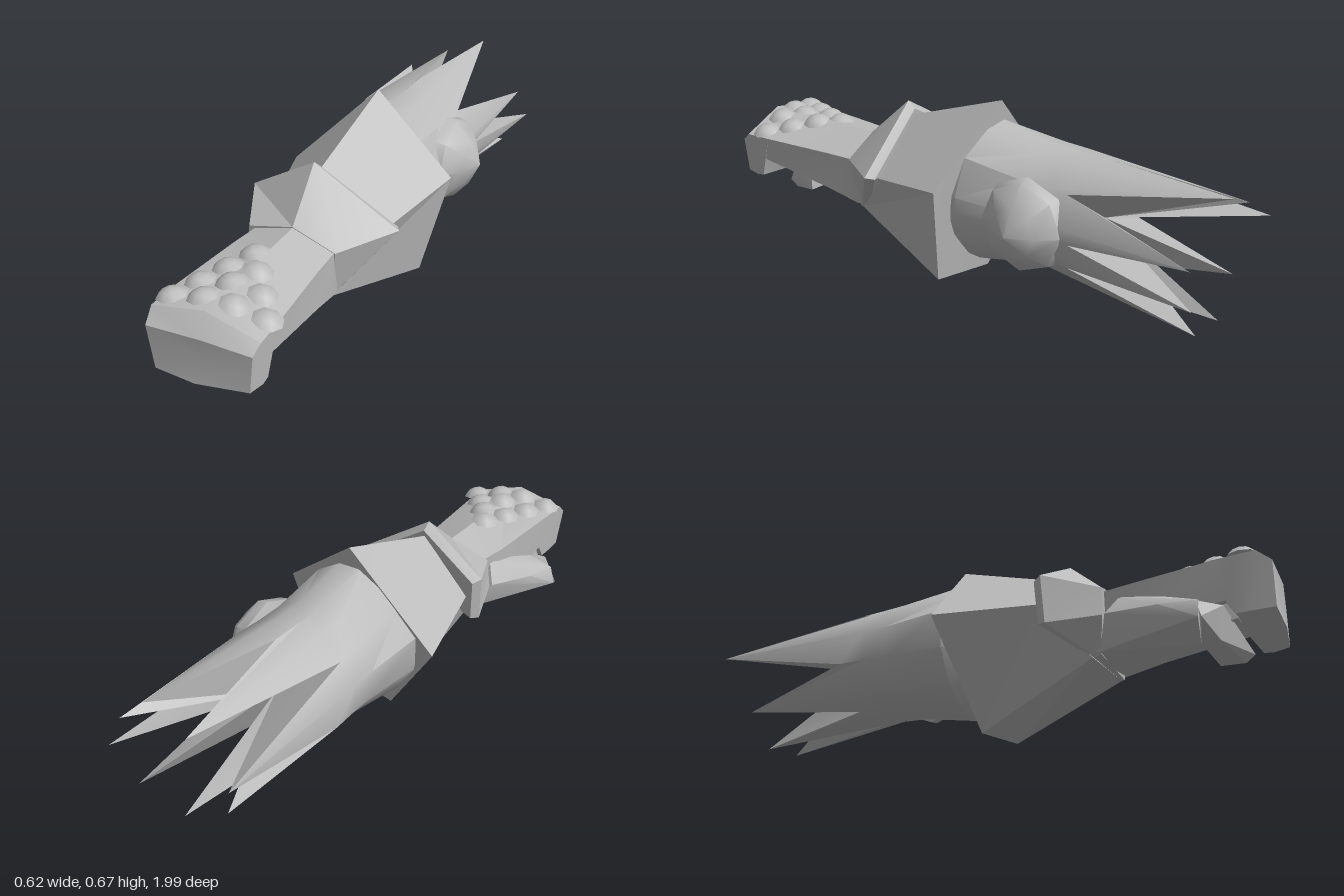
import * as THREE from 'three';
import { toCreasedNormals } from 'three/addons/utils/BufferGeometryUtils.js';
import { ConvexGeometry } from 'three/addons/geometries/ConvexGeometry.js';

// Closed skin through rings of points, each anticlockwise seen from +z, front to back
function loft(rings, backCentre) {
  const n = rings[0].length;
  const points = rings.flat();
  const index = [];
  for (let r = 0; r < rings.length - 1; r++) {
    for (let i = 0; i < n; i++) {
      const j = (i + 1) % n;
      const a = r * n, b = a + n;
      index.push(a + i, b + i, b + j, a + i, b + j, a + j);
    }
  }
  const centreOf = (ring) => [0, 1, 2].map((k) => ring.reduce((s, p) => s + p[k], 0) / n);
  const last = (rings.length - 1) * n;
  const f = points.push(centreOf(rings[0])) - 1;
  const e = points.push(backCentre || centreOf(rings[rings.length - 1])) - 1;
  for (let i = 0; i < n; i++) {
    const j = (i + 1) % n;
    index.push(f, i, j, e, last + j, last + i);
  }
  const geometry = new THREE.BufferGeometry();
  geometry.setAttribute('position', new THREE.Float32BufferAttribute(points.flat(), 3));
  geometry.setIndex(index);
  return geometry;
}

const hull = (points) => new ConvexGeometry(points.map((p) => new THREE.Vector3(...p)));
const lathe = (points, sides) => new THREE.LatheGeometry(points.map((p) => new THREE.Vector2(...p)), sides);

export function createModel() {
  const group = new THREE.Group();
  const steel = new THREE.MeshStandardMaterial({ color: 0xbcbcbc });
  steel.name = 'steel grey';

  const add = (name, geometry, crease = 0.5) => {
    const mesh = new THREE.Mesh(toCreasedNormals(geometry, crease), steel);
    mesh.name = name;
    group.add(mesh);
    return mesh;
  };

  // Fist: right top, middle top, left top, left bottom, middle bottom, right bottom
  add('fist', loft([
    [[0.155, 0.34, 0.965], [0, 0.365, 0.99], [-0.18, 0.36, 0.995], [-0.165, 0.21, 0.99], [-0.03, 0.2, 0.99], [0.14, 0.21, 0.965]],
    [[0.163, 0.37, 0.93], [-0.01, 0.433, 0.945], [-0.187, 0.4, 0.95], [-0.17, 0.21, 0.92], [-0.03, 0.2, 0.92], [0.15, 0.207, 0.91]],
    [[0.16, 0.37, 0.87], [-0.01, 0.433, 0.87], [-0.185, 0.4, 0.87], [-0.17, 0.21, 0.87], [-0.03, 0.2, 0.87], [0.148, 0.21, 0.88]],
    [[0.158, 0.37, 0.83], [-0.01, 0.433, 0.83], [-0.183, 0.4, 0.83], [-0.17, 0.26, 0.84], [-0.03, 0.25, 0.84], [0.148, 0.28, 0.86]],
    [[0.135, 0.37, 0.55], [-0.01, 0.43, 0.55], [-0.165, 0.39, 0.55], [-0.16, 0.24, 0.55], [-0.02, 0.2, 0.58], [0.13, 0.23, 0.55]],
    [[0.13, 0.37, 0.44], [-0.01, 0.43, 0.44], [-0.15, 0.39, 0.44], [-0.13, 0.19, 0.42], [0, 0.18, 0.42], [0.12, 0.2, 0.42]],
    [[0.13, 0.37, 0.3], [-0.01, 0.43, 0.3], [-0.14, 0.39, 0.3], [-0.12, 0.2, 0.3], [0, 0.19, 0.3], [0.1, 0.2, 0.3]],
  ]), 0.6);

  // Thumb: a base along the palm, a pad inside the fist and a tip folded under the fingers
  add('thumbBase', hull([
    [-0.15, 0.36, 0.5], [-0.19, 0.29, 0.46], [-0.13, 0.19, 0.42], [-0.245, 0.255, 0.65], [-0.26, 0.235, 0.78],
    [-0.28, 0.17, 0.78], [-0.185, 0.125, 0.76], [-0.17, 0.32, 0.64], [-0.04, 0.18, 0.5], [-0.12, 0.155, 0.68],
    [-0.14, 0.26, 0.78],
  ]));
  add('palmPad', hull([
    [-0.15, 0.3, 0.87], [0.05, 0.3, 0.87], [-0.15, 0.205, 0.87], [0.0, 0.205, 0.87],
    [-0.15, 0.19, 0.48], [0.04, 0.185, 0.48], [-0.15, 0.3, 0.5], [0.08, 0.3, 0.5], [-0.16, 0.17, 0.74], [-0.04, 0.19, 0.72],
  ]));
  add('thumbTip', hull([
    [-0.26, 0.235, 0.77], [-0.28, 0.17, 0.79], [-0.2, 0.23, 0.84], [-0.185, 0.125, 0.82], [-0.185, 0.125, 0.76],
    [0.01, 0.2, 0.85], [0.005, 0.145, 0.88], [0, 0.12, 0.85], [0, 0.2, 0.77], [0, 0.125, 0.77],
  ]));

  // Rows of shallow scales on the back of the hand
  const scales = new THREE.Group();
  scales.name = 'knuckleScales';
  group.add(scales);
  const scaleShape = lathe([[0, -0.01], [0.049, 0], [0.028, 0.018], [0, 0.026]], 8);
  for (let row = 0; row < 4; row++) {
    for (let i = 0; i < 4 - row; i++) {
      const x = -0.15 + row * 0.037 + i * 0.097;
      const z = 0.9 - row * 0.09 - i * 0.015;
      const slope = x > -0.01 ? -0.3 : 0.17;
      const scale = add('scale', scaleShape, 0.7);
      scale.position.set(x, 0.438 + slope * (x + 0.01), z);
      scale.rotation.z = Math.atan(slope);
      scales.add(scale);
    }
  }

  // Flared cuff around the wrist
  const flare = [
    [0.265, 0.385, 0.25], [-0.02, 0.582, 0.285], [-0.257, 0.44, 0.27],
    [-0.25, 0.27, 0.28], [-0.12, 0.18, 0.4], [0.1, 0.18, 0.41],
  ];
  add('wristCuff', loft([
    [[0.135, 0.37, 0.44], [-0.01, 0.433, 0.45], [-0.17, 0.395, 0.45], [-0.185, 0.29, 0.45], [-0.12, 0.185, 0.42], [0.1, 0.182, 0.42]],
    flare,
    flare.map(([x, y, z]) => [x * 0.93, 0.34 + (y - 0.34) * 0.9, z - 0.03]),
  ]), 0.4);

  // Five-sided forearm guard
  const rim = [[0.305, 0.425, -0.08], [0.003, 0.67, -0.135], [-0.31, 0.352, -0.1], [-0.085, 0, -0.02], [0.22, 0.065, -0.03]];
  add('forearmGuard', loft([
    [[0.212, 0.37, 0.24], [-0.02, 0.535, 0.26], [-0.21, 0.36, 0.25], [-0.12, 0.18, 0.39], [0.1, 0.18, 0.41]],
    rim,
  ]), 0.2);

  // Torn sleeve whose rear edge runs out into spikes
  const cx = -0.015, cy = 0.345;
  const tips = [
    [0.24, 0.38, -0.95], [0.065, 0.555, -0.99], [-0.085, 0.49, -0.98], [-0.25, 0.39, -0.99],
    [-0.16, 0.2, -0.92], [0, 0.115, -0.95], [0.185, 0.15, -0.96], [0.275, 0.275, -0.98],
  ];
  const notches = [-0.49, -0.53, -0.43, -0.5, -0.5, -0.5, -0.5, -0.53];
  const angleOf = ([x, y]) => Math.atan2((y - cy) / 0.2, (x - cx) / 0.23);
  const angles = [];
  tips.forEach((tip, i) => {
    const a = angleOf(tip);
    let b = angleOf(tips[(i + 1) % tips.length]);
    while (b < a) b += Math.PI * 2;
    angles.push(a, (a + b) / 2);
  });
  const oval = (a, rx, ry, z) => [cx + rx * Math.cos(a), cy + ry * Math.sin(a), z];
  // An oval point drawn in where it would pass outside the guard's rim
  const tucked = (a, rx, ry, z, fit) => {
    const vx = rx * Math.cos(a), vy = ry * Math.sin(a);
    let t = 1;
    rim.forEach(([x, y], i) => {
      const [nextX, nextY] = rim[(i + 1) % rim.length];
      const nx = nextY - y, ny = x - nextX;
      const along = nx * vx + ny * vy;
      if (along > 0) t = Math.min(t, fit * (nx * (x - cx) + ny * (y - cy)) / along);
    });
    return [cx + t * vx, cy + t * vy, z];
  };
  add('tornSleeve', loft([
    angles.map((a) => tucked(a, 0.18, 0.2, 0, 0.8)),
    angles.map((a) => tucked(a, 0.235, 0.252, -0.1, 0.97)),
    angles.map((a) => oval(a, 0.222, 0.206, -0.32)),
    angles.map((a) => oval(a, 0.225, 0.2, -0.41)),
    angles.map((a, i) => (i % 2 ? oval(a, 0.23, 0.2, notches[(i - 1) / 2]) : tips[i / 2])),
  ], [cx, cy, -0.53]), 0.6);

  // Pointed elbow boss on the left side
  const boss = lathe([[0, -0.06], [0.16, -0.01], [0.15, 0.03], [0.085, 0.085], [0, 0.125]], 8);
  boss.rotateZ(-Math.PI / 2);
  add('elbowBoss', boss, 0.8).position.set(0.183, 0.345, -0.355);

  return group;
}
